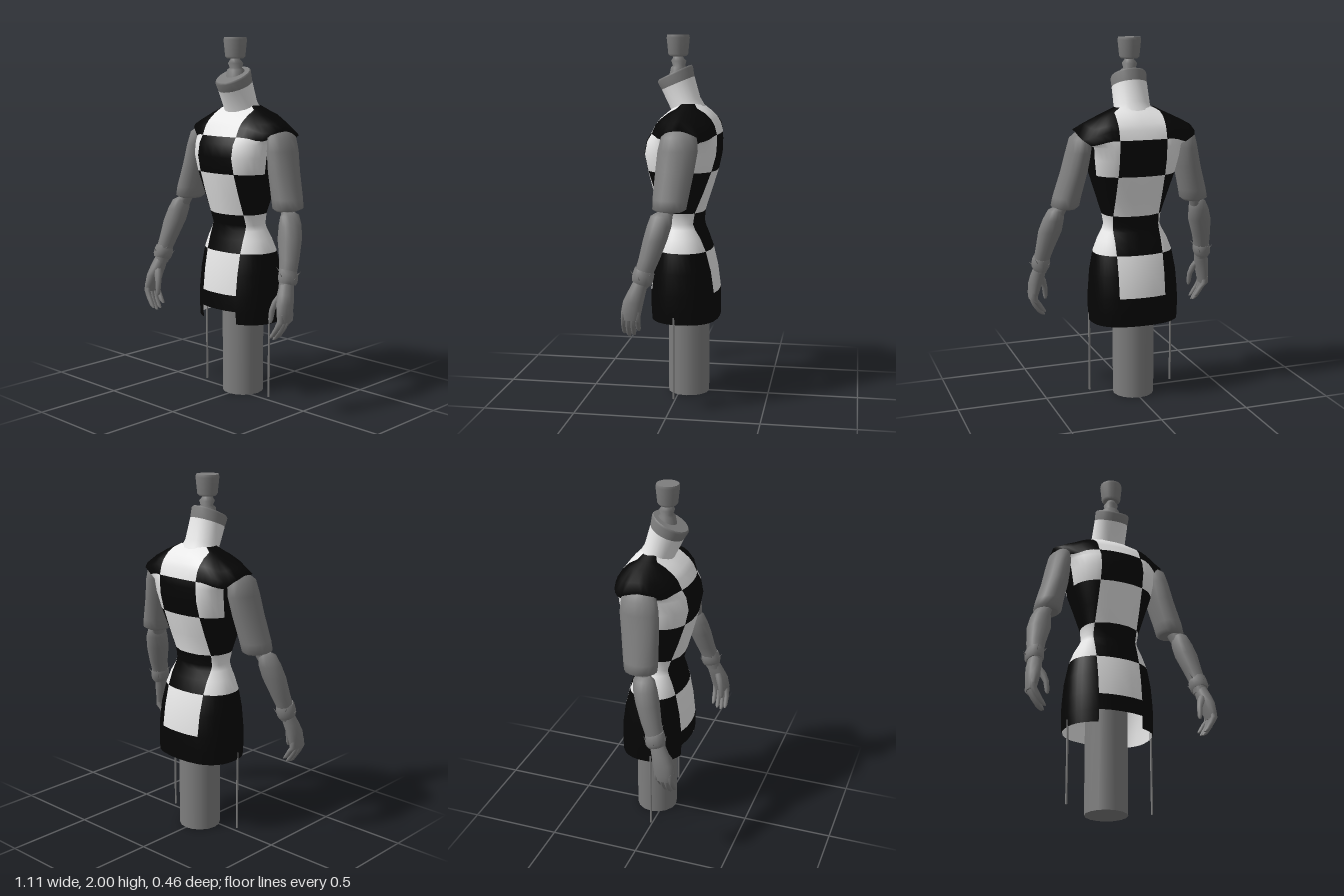
import * as THREE from 'three';

const mat = (name, color) => {
  const m = new THREE.MeshStandardMaterial({ color });
  m.name = name;
  return m;
};

// Skin a stack of closed rings; pick(row, col) gives the material slot, or -1 for a gap.
function skin(rings, { pick = () => 0, flip = false, caps = true } = {}) {
  const n = rings[0].length, pos = rings.flat(2), slots = [[], []];
  const tri = (slot, a, b, c) => slots[slot].push(...(flip ? [a, c, b] : [a, b, c]));
  for (let r = 0; r < rings.length - 1; r++) for (let i = 0; i < n; i++) {
    const slot = pick(r, i);
    if (slot < 0) continue;
    const j = (i + 1) % n, a = r * n + i, b = r * n + j, c = b + n, d = a + n;
    tri(slot, a, d, c);
    tri(slot, a, c, b);
  }
  if (caps) [rings[0], rings[rings.length - 1]].forEach((ring, top) => {
    const base = pos.length / 3, mid = [0, 1, 2].map(k => ring.reduce((s, p) => s + p[k], 0) / n);
    pos.push(...ring.flat(), ...mid);
    for (let i = 0; i < n; i++) {
      const a = base + i, b = base + (i + 1) % n;
      top ? tri(0, base + n, b, a) : tri(0, base + n, a, b);
    }
  });
  const g = new THREE.BufferGeometry();
  g.setAttribute('position', new THREE.Float32BufferAttribute(pos, 3));
  g.setIndex(slots.flat());
  if (slots[1].length) {
    g.addGroup(0, slots[0].length, 0);
    g.addGroup(slots[0].length, slots[1].length, 1);
  }
  g.computeVertexNormals();
  return g;
}

// Elliptical limb from sections [x, y, z, rx, rz, tilt]; s = -1 mirrors it across x.
function limb(sections, s = 1, n = 16) {
  const rings = sections.map(([x, y, z, rx, rz, tilt = 0]) =>
    Array.from({ length: n }, (_, i) => {
      const t = i / n * Math.PI * 2, dz = Math.sin(t) * rz;
      return [s * (x + Math.cos(t) * rx), y + tilt * dz, z + dz];
    }));
  return skin(rings, { flip: s < 0 });
}

// Garment profile: height, half width, front z, back z, squareness of front and of back
const PROFILE = [
  [0.44, 0.249, 0.158, -0.222, 2.3, 2.5], [0.51, 0.252, 0.162, -0.224, 2.3, 2.5],
  [0.6, 0.251, 0.16, -0.222, 2.3, 2.5], [0.72, 0.243, 0.147, -0.207, 2.3, 2.4],
  [0.83, 0.224, 0.127, -0.182, 2.3, 2.3], [0.9, 0.197, 0.11, -0.158, 2.3, 2.3],
  [0.95, 0.169, 0.1, -0.138, 2.3, 2.3], [0.98, 0.157, 0.1, -0.132, 2.3, 2.4],
  [1.04, 0.165, 0.118, -0.138, 2.3, 2.4], [1.15, 0.2, 0.148, -0.172, 2.3, 2.4],
  [1.27, 0.237, 0.178, -0.208, 2.4, 2.5], [1.36, 0.254, 0.195, -0.226, 2.4, 2.8],
  [1.43, 0.262, 0.182, -0.228, 2.3, 3], [1.47, 0.285, 0.158, -0.222, 2.1, 3.4],
  [1.52, 0.338, 0.128, -0.206, 2.1, 3.8], [1.55, 0.282, 0.106, -0.192, 2.1, 3.2],
  [1.585, 0.207, 0.066, -0.167, 2.2, 2.8], [1.61, 0.152, 0.035, -0.14, 2.2, 2.5],
  [1.632, 0.108, 0.01, -0.115, 2.2, 2.3],
];
const SIDE = 7, MID = 4, HALF = SIDE * 2 + MID;

function garmentRing([y, w, zf, zb, nf, nb], inset = 0) {
  w -= inset;
  const zc = (zf + zb) / 2, d = (zf - zb) / 2 - inset;
  // Half ring from one side seam to the other, with columns on the check edges
  const half = (dir, n, checkEdge) => {
    const c = Math.min(checkEdge, w * 0.85), xs = [];
    for (let i = 0; i < SIDE; i++) xs.push(c + (w - c) * Math.cos(i / SIDE * Math.PI / 2));
    for (let i = 0; i <= MID; i++) xs.push(c - 2 * c * i / MID);
    for (let i = SIDE - 1; i > 0; i--) xs.push(-xs[i]);
    return xs.map(x => {
      const dz = d * Math.pow(Math.max(0, 1 - Math.pow(Math.abs(x) / w, n)), 1 / n);
      // Sleeve hems hang lower in front of and behind the arm
      const outer = y > 1.46 ? Math.max(0, Math.abs(x) - 0.18) / 0.15 : 0;
      return [dir * x, y - 0.05 * outer * Math.min(1, dz / 0.11) ** 2, zc + dir * dz];
    });
  };
  return [...half(1, nf, 0.127), ...half(-1, nb, 0.133)];
}

// Large checks with black armholes; the centre front hem is cut away.
function check(row, col) {
  const y = PROFILE[row][0], k = col % HALF, centre = k >= SIDE && k < SIDE + MID;
  const front = col < HALF, edge = Math.min(k, HALF - 1 - k);
  if (row === 0 && centre && front) return -1;
  if (y < 0.59 || (y > 1.26 && edge < (front ? 1 : 2))) return 0;
  const band = [0.83, 1.04, 1.27, 1.47].filter(b => y >= b - 0.001).length;
  return (band % 2 === 0) === centre ? 1 : 0;
}

export function createModel() {
  const black = mat('black cloth', 0x050505);
  const white = mat('white cloth', 0xf4f4f4);
  const grey = mat('grey form', 0x7e7e7e);
  const model = new THREE.Group();
  model.name = 'dressForm';
  const add = (name, geometry, material, parent = model) => {
    const m = new THREE.Mesh(geometry, material);
    m.name = name;
    parent.add(m);
    return m;
  };

  // Checked dress and its pale lining
  add('dress', skin(PROFILE.map(p => garmentRing(p)), { pick: check, caps: false }), [black, white]);
  add('lining', skin(PROFILE.slice(0, 9).map(p => garmentRing(p, 0.006)),
    { pick: (r, i) => Math.min(0, check(r, i)), flip: true, caps: false }), white);

  // Neck leaning forward, with a slanted cap
  const neckTop = [0, 1.74, 0.015, 0.097, 0.09, -0.42];
  add('neck', limb([[0, 1.55, -0.05, 0.135, 0.095, -0.4], [0, 1.585, -0.042, 0.118, 0.088, -0.45],
    [0, 1.63, -0.027, 0.1, 0.08, -0.42], neckTop], 1, 20), white);
  add('neckCap', limb([neckTop, [0, 1.787, 0.031, 0.098, 0.097, -0.47],
    [0, 1.797, 0.033, 0.092, 0.091, -0.47]], 1, 20), grey);

  // Turned finial
  add('finialStem', limb([[0, 1.78, 0.015, 0.055, 0.05], [0, 1.825, 0.01, 0.05, 0.045],
    [0, 1.835, 0.01, 0.034, 0.034], [0, 1.86, 0.012, 0.042, 0.042], [0, 1.88, 0.015, 0.026, 0.028],
    [0, 1.9, 0.015, 0.024, 0.024]]), grey);
  add('finialCup', limb([[0, 1.885, 0.015, 0.045, 0.045], [0, 1.897, 0.015, 0.055, 0.055],
    [0, 1.985, 0.015, 0.064, 0.064], [0, 2, 0.015, 0.061, 0.061]]), grey);

  // Support post
  const post = add('post', new THREE.CylinderGeometry(0.116, 0.116, 0.85, 16), grey);
  post.position.set(0, 0.425, -0.048);

  for (const s of [1, -1]) {
    const arm = new THREE.Group();
    arm.name = s > 0 ? 'leftArm' : 'rightArm';
    model.add(arm);

    add('upperArm', limb([[0.37, 1.085, 0.0, 0.05, 0.065], [0.378, 1.1, 0.0, 0.077, 0.09],
      [0.368, 1.15, -0.004, 0.076, 0.095], [0.33, 1.29, -0.02, 0.071, 0.103],
      [0.308, 1.4, -0.033, 0.066, 0.107], [0.296, 1.47, -0.038, 0.06, 0.096],
      [0.28, 1.505, -0.04, 0.038, 0.06]], s), grey, arm);
    add('elbow', limb([[0.415, 1.02, 0.04, 0.03, 0.04], [0.402, 1.06, 0.025, 0.031, 0.045],
      [0.385, 1.11, 0.01, 0.034, 0.045]], s), grey, arm);
    add('forearm', limb([[0.487, 0.7, 0.135, 0.034, 0.042], [0.485, 0.77, 0.118, 0.043, 0.05],
      [0.47, 0.85, 0.09, 0.051, 0.056], [0.447, 0.95, 0.062, 0.065, 0.064],
      [0.432, 1.02, 0.043, 0.057, 0.065], [0.42, 1.07, 0.033, 0.042, 0.058],
      [0.414, 1.085, 0.03, 0.02, 0.035]], s), grey, arm);

    // Wrist cuff with loose tie ends
    add('cuff', limb([[0.49, 0.725, 0.128, 0.042, 0.049, 0.3], [0.489, 0.745, 0.123, 0.052, 0.055, 0.3],
      [0.486, 0.775, 0.115, 0.051, 0.054, 0.3], [0.484, 0.795, 0.112, 0.044, 0.05, 0.3]], s, 12), grey, arm);
    for (let i = 0; i < 5; i++) {
      const a = i * 1.3 + 0.2;
      const tie = add('tieEnd', new THREE.ConeGeometry(0.007, 0.06, 5), grey, arm);
      tie.position.set(s * (0.487 + Math.cos(a) * 0.05), 0.75 + (i % 3) * 0.02, 0.118 + Math.sin(a) * 0.053);
      tie.rotation.set(Math.sin(a) * 0.6, 0, -s * Math.cos(a) * 0.8);
    }

    // Hand with gently curled fingers
    add('palm', limb([[0.522, 0.535, 0.18, 0.022, 0.046], [0.519, 0.57, 0.178, 0.03, 0.054],
      [0.51, 0.63, 0.167, 0.038, 0.055], [0.499, 0.68, 0.15, 0.041, 0.048],
      [0.489, 0.735, 0.13, 0.034, 0.04]], s), grey, arm);
    for (let f = 0; f < 4; f++) {
      const z = 0.142 + f * 0.025, drop = [0.03, 0.006, 0, 0.014][f];
      add('finger', limb([[0.461, 0.432 + drop, z + 0.006, 0.008, 0.007],
        [0.474, 0.446 + drop, z + 0.006, 0.015, 0.013], [0.502, 0.488 + drop, z + 0.004, 0.018, 0.014],
        [0.522, 0.54, z, 0.02, 0.015], [0.522, 0.58, z - 0.004, 0.018, 0.014]], s, 8), grey, arm);
    }
    add('thumb', limb([[0.442, 0.522, 0.205, 0.007, 0.008], [0.443, 0.54, 0.203, 0.013, 0.014],
      [0.447, 0.59, 0.197, 0.016, 0.017], [0.465, 0.64, 0.182, 0.022, 0.022],
      [0.487, 0.68, 0.165, 0.02, 0.022]], s, 8), grey, arm);

    // Thin strap hanging below the hem
    const strap = add('hangingStrap', new THREE.CylinderGeometry(0.006, 0.006, 0.46, 6), grey);
    strap.position.set(s * 0.245, 0.25, 0);
  }
  return model;
}
